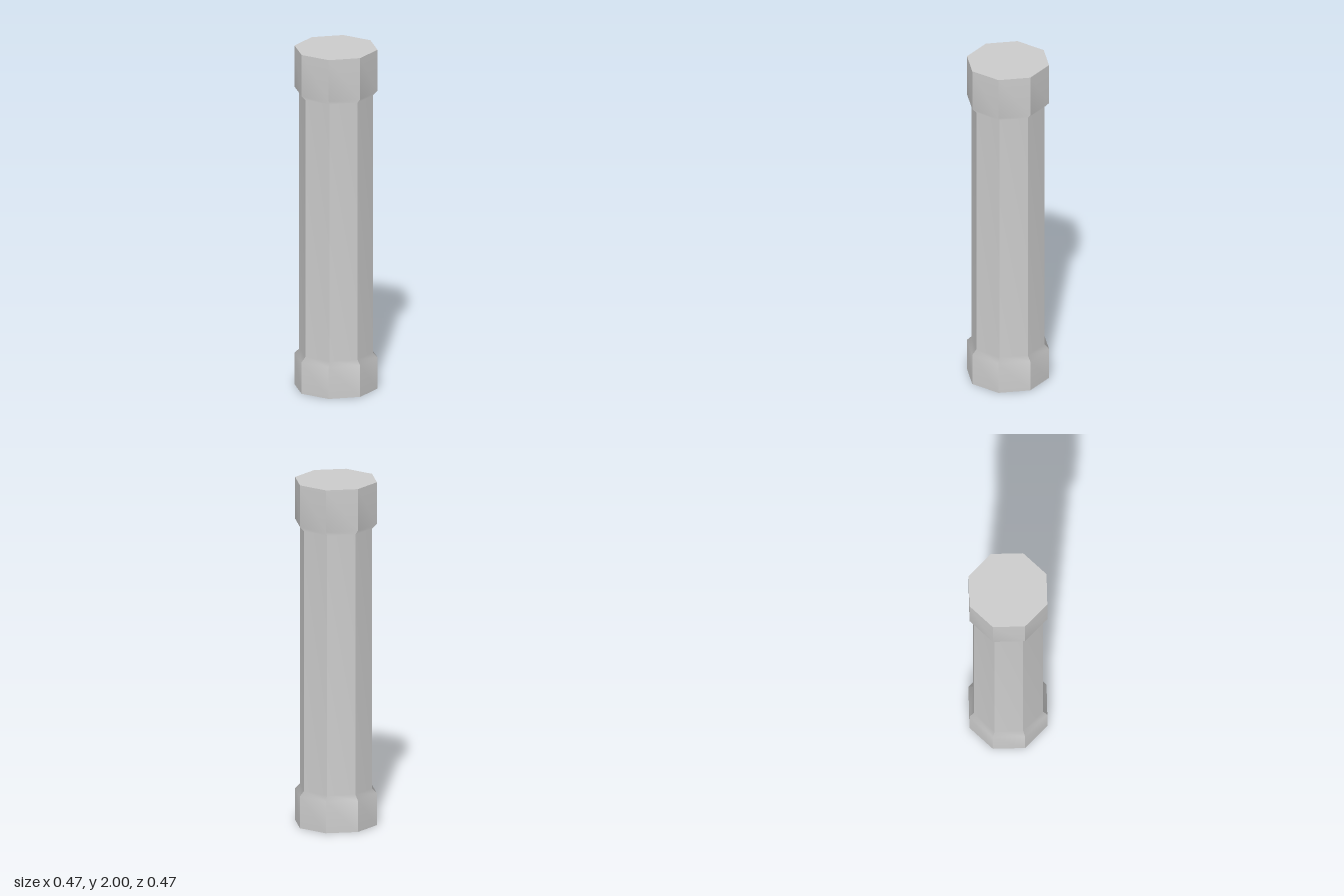
import * as THREE from 'three';
import { mergeGeometries } from 'three/addons/utils/BufferGeometryUtils.js';

const SIDES = 8;
const COLLAR = 0.237;
const SHAFT = 0.21;

export function createModel() {
  const group = new THREE.Group();
  const material = new THREE.MeshStandardMaterial({ color: 0xcccccc });

  const add = (name, geometry) => {
    const mesh = new THREE.Mesh(geometry, material);
    mesh.name = name;
    group.add(mesh);
  };

  // Octagonal column: narrow shaft between two chamfered collars
  const profile = [
    [COLLAR, 0], [COLLAR, 0.185], [SHAFT, 0.213],
    [SHAFT, 1.729], [COLLAR, 1.757], [COLLAR, 2],
  ].map(([r, y]) => new THREE.Vector2(r, y));

  // One strip per side keeps the long edges sharp and the chamfers soft
  const step = (Math.PI * 2) / SIDES;
  const strips = [];
  for (let i = 0; i < SIDES; i++) {
    const strip = new THREE.LatheGeometry(profile, 1, i * step, step);
    strip.computeVertexNormals();
    strips.push(strip);
  }
  add('column', mergeGeometries(strips));

  // Flat ends
  const end = (dir) => new THREE.CircleGeometry(COLLAR, SIDES).rotateX(-dir * Math.PI / 2);
  add('topEnd', end(1).translate(0, 2, 0));
  add('bottomEnd', end(-1));

  return group;
}
